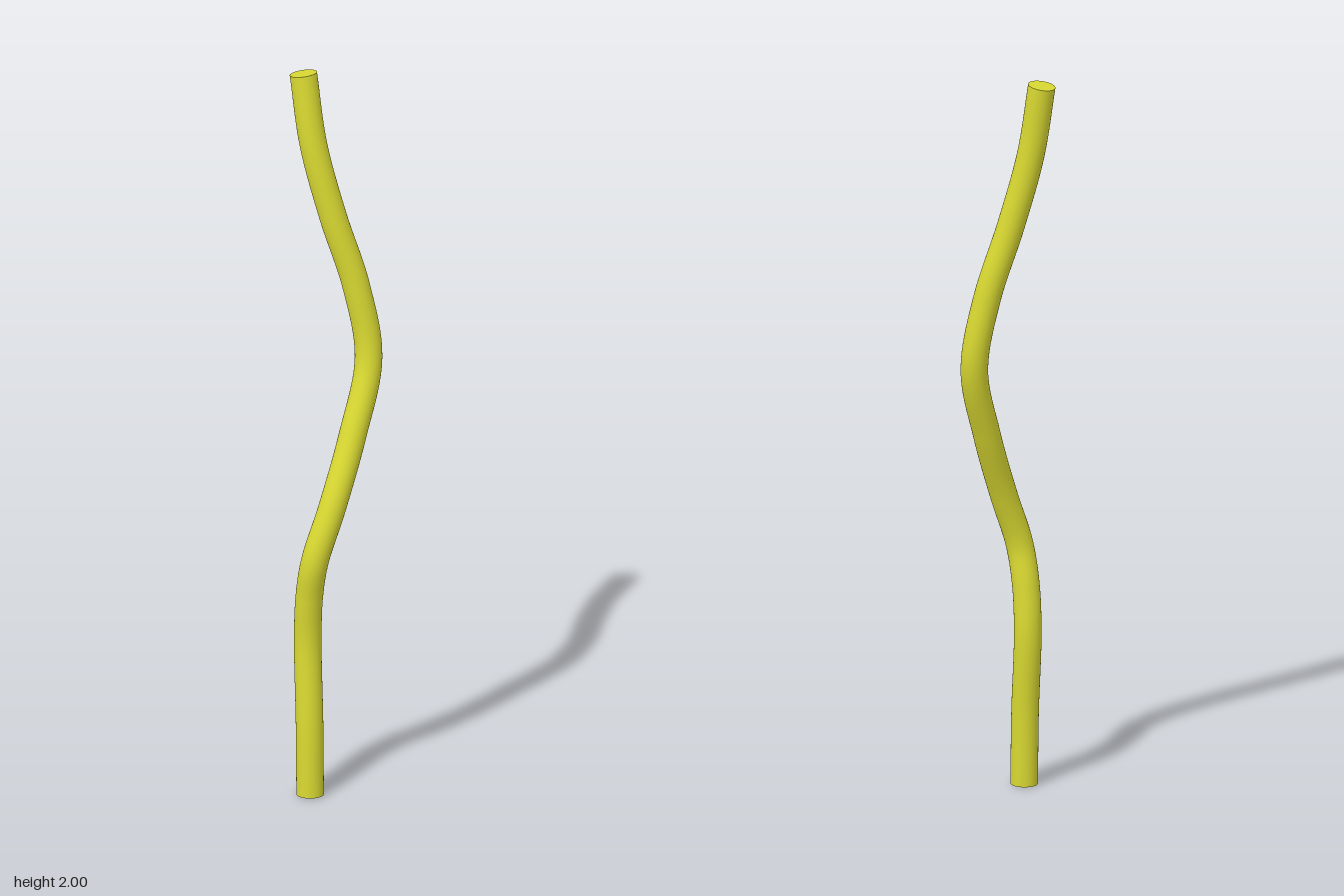
import * as THREE from 'three';

export function createModel() {
  const group = new THREE.Group();
  group.name = 'bentRod';
  const material = new THREE.MeshStandardMaterial({ color: 0xd8d832 });
  const radius = 0.037;

  // Centre line of the rod, from the foot to the tip
  const path = new THREE.CatmullRomCurve3([
    [-0.095, 0, 0.092], [-0.095, 0.2, 0.086], [-0.095, 0.43, 0.068], [-0.094, 0.56, 0.079],
    [-0.083, 0.67, 0.097], [-0.034, 0.81, 0.088], [0.036, 1.0, 0.044], [0.092, 1.2, 0.0],
    [0.064, 1.4, -0.022], [0.005, 1.6, -0.045], [-0.042, 1.8, -0.071], [-0.063, 1.996, -0.097],
  ].map(p => new THREE.Vector3(...p)));

  const rod = new THREE.Mesh(new THREE.TubeGeometry(path, 96, radius, 32), material);
  rod.name = 'rod';
  group.add(rod);

  // Flat discs closing both ends
  [['footCap', 0, -1], ['tipCap', 1, 1]].forEach(([name, t, sign]) => {
    const cap = new THREE.Mesh(new THREE.CircleGeometry(radius, 32), material);
    const outward = path.getTangentAt(t).multiplyScalar(sign);
    cap.name = name;
    cap.position.copy(path.getPointAt(t));
    cap.quaternion.setFromUnitVectors(new THREE.Vector3(0, 0, 1), outward);
    group.add(cap);
  });

  return group;
}
